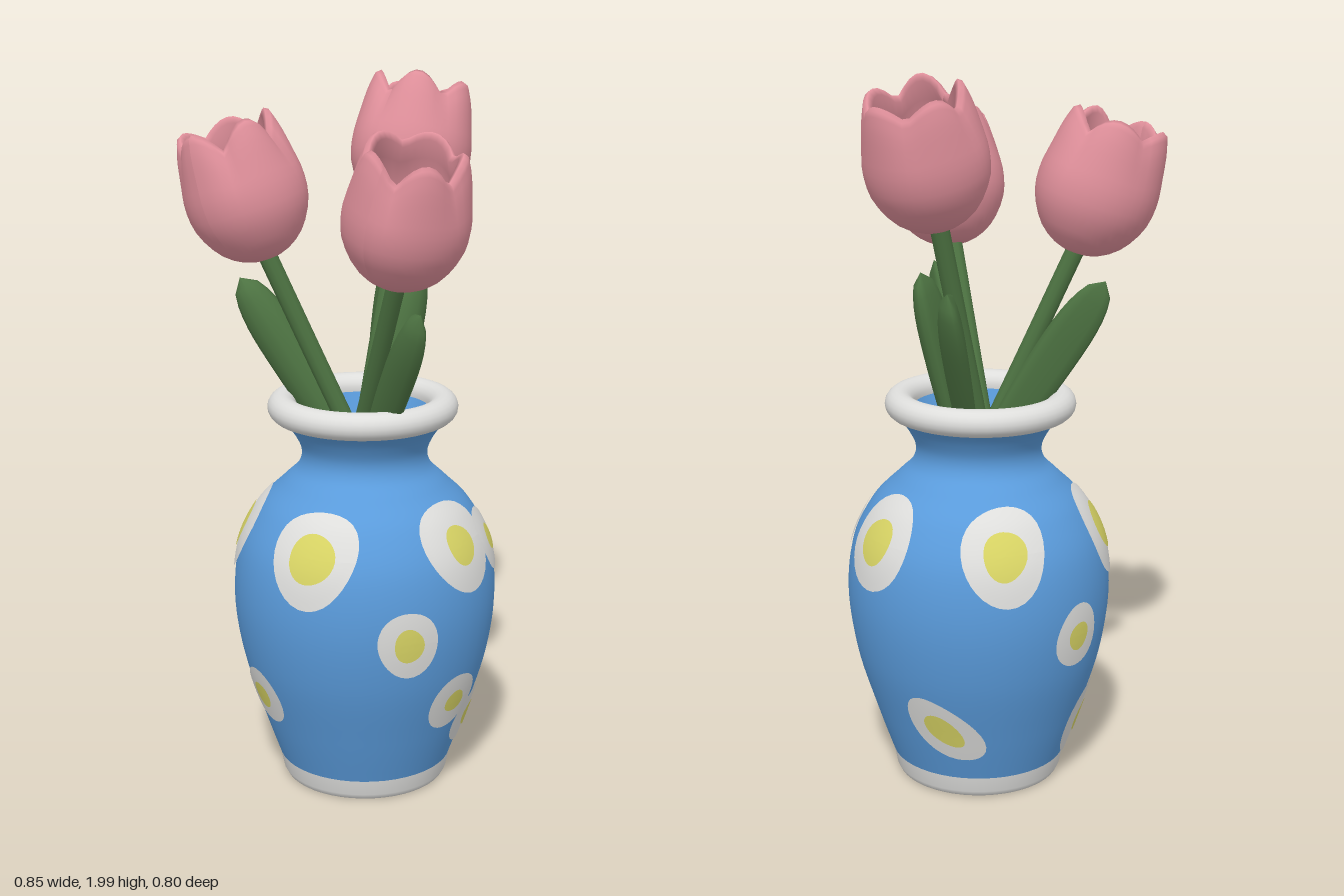
import * as THREE from 'three';

const mat = (name, color) => {
  const m = new THREE.MeshStandardMaterial({ color });
  m.name = name;
  return m;
};
const V2 = (x, y) => new THREE.Vector2(x, y);
const V3 = (x, y, z) => new THREE.Vector3(x, y, z);

// Vase wall: smooth curve through (radius, height), used by the body and its spots
const WALL = new THREE.SplineCurve([
  V2(0.245, 0.07), V2(0.29, 0.2), V2(0.345, 0.38), V2(0.368, 0.55), V2(0.352, 0.7),
  V2(0.298, 0.81), V2(0.23, 0.88), V2(0.185, 0.925), V2(0.175, 0.97), V2(0.197, 1.02), V2(0.235, 1.068),
]).getPoints(70);
const HEIGHTS = WALL.map((p) => p.y);
const ARC = [0];
for (let i = 1; i < WALL.length; i++) ARC.push(ARC[i - 1] + WALL[i].distanceTo(WALL[i - 1]));

// Fractional wall index where a rising list of keys reaches a value, and the reverse
function locate(keys, value) {
  let i = 1;
  while (i < keys.length - 1 && keys[i] < value) i++;
  return i - 1 + (value - keys[i - 1]) / (keys[i] - keys[i - 1]);
}
function mix(at, f) {
  const i = Math.min(Math.floor(f), WALL.length - 2);
  return THREE.MathUtils.lerp(at(i), at(i + 1), f - i);
}

// Thin round patch wrapped along the vase wall; angle is measured from +z to +x
function spotGeometry(deg, y0, rx, ry, tilt, lift, phase) {
  const g = new THREE.RingGeometry(0, 1, 32, 6);
  const p = g.attributes.position;
  const c = Math.cos(tilt), s = Math.sin(tilt);
  const arc0 = mix((i) => ARC[i], locate(HEIGHTS, y0));
  for (let i = 0; i < p.count; i++) {
    const t = Math.atan2(p.getY(i), p.getX(i));
    const k = 1 + 0.03 * Math.sin(2 * t + phase) + 0.03 * Math.sin(3 * t + 2 * phase);
    const u = p.getX(i) * rx * k, v = p.getY(i) * ry * k;
    const f = locate(ARC, arc0 + u * s + v * c);
    const r = mix((j) => WALL[j].x, f), y = mix((j) => WALL[j].y, f);
    const a = deg * Math.PI / 180 + (u * c - v * s) / r;
    p.setXYZ(i, Math.sin(a) * (r + lift), y, Math.cos(a) * (r + lift));
  }
  g.computeVertexNormals();
  return g;
}

// Tulip cup: lathe with a thin lip, its rim lifted into uneven petal tips
function tulipGeometry(turn) {
  const outer = new THREE.SplineCurve([
    V2(0, 0), V2(0.058, 0.01), V2(0.115, 0.05), V2(0.156, 0.12), V2(0.166, 0.19),
    V2(0.158, 0.26), V2(0.146, 0.33), V2(0.132, 0.375),
  ]).getPoints(18);
  const inner = [V2(0.12, 0.382), V2(0.108, 0.365), V2(0.12, 0.31), V2(0.134, 0.22),
    V2(0.122, 0.13), V2(0.07, 0.065), V2(0, 0.04)];
  const g = new THREE.LatheGeometry([...outer, ...inner], 40);
  const p = g.attributes.position;
  for (let i = 0; i < p.count; i++) {
    const x = p.getX(i), y = p.getY(i), z = p.getZ(i);
    const a = Math.atan2(x, z);
    const w = THREE.MathUtils.smoothstep(y, 0.12, 0.38);
    const valley = (1 - Math.abs(Math.cos(2.5 * a + turn))) * (0.85 + 0.3 * Math.sin(a + turn));
    const k = 1 - 0.05 * w * valley;
    p.setXYZ(i, x * k, y - 0.06 * w * w * valley, z * k);
  }
  g.computeVertexNormals();
  return g;
}

// Leaf: thick, slightly cupped sections along a gently bent path
function leafGeometry(base, tip, facing, width) {
  const mid = base.clone().lerp(tip, 0.5).add(V3(0, 0.01, 0));
  const path = new THREE.QuadraticBezierCurve3(base, mid, tip);
  const rows = 18, n = 12, pos = [], index = [];
  const side0 = V3(Math.cos(facing), 0, -Math.sin(facing));
  for (let i = 0; i <= rows; i++) {
    const t = i / rows, c = path.getPoint(t), T = path.getTangent(t);
    const side = side0.clone().addScaledVector(T, -side0.dot(T)).normalize();
    const nor = T.clone().cross(side);
    const d = t > 0.65 ? Math.pow((t - 0.65) / 0.35, 2.4) : Math.pow((0.65 - t) / 0.75, 2);
    const shape = Math.sqrt(Math.max(0, 1 - d));
    const w = width * shape, h = 0.034 * shape;
    for (let j = 0; j < n; j++) {
      const a = j / n * Math.PI * 2, cs = Math.cos(a);
      const q = c.clone().addScaledVector(side, w * cs)
        .addScaledVector(nor, h * Math.sin(a) + 0.016 * shape * (cs * cs - 0.5));
      pos.push(q.x, q.y, q.z);
      if (i < rows) {
        const A = i * n + j, B = i * n + (j + 1) % n;
        index.push(A, B, A + n, B, B + n, A + n);
      }
    }
  }
  const g = new THREE.BufferGeometry();
  g.setAttribute('position', new THREE.Float32BufferAttribute(pos, 3));
  g.setIndex(index);
  g.computeVertexNormals();
  return g;
}

export function createModel() {
  const blue = mat('blue glaze', 0x5a9bdb);
  const white = mat('white glaze', 0xdededc);
  const yellow = mat('yellow glaze', 0xd9d565);
  const pink = mat('pink petal', 0xe0909b);
  const green = mat('leaf green', 0x4d7342);
  const model = new THREE.Group();
  model.name = 'vaseOfTulips';
  const add = (parent, name, geometry, material) => {
    const m = new THREE.Mesh(geometry, material);
    m.name = name;
    parent.add(m);
    return m;
  };

  // Vase
  const vase = new THREE.Group();
  vase.name = 'vase';
  vase.position.set(-0.023, 0, 0.015);
  model.add(vase);
  const lathe = (name, points, m) => add(vase, name, new THREE.LatheGeometry(points, 48), m);
  lathe('vaseBottom', [V2(0, 0.008), V2(0.215, 0.008)], white);
  lathe('foot', [V2(0.215, 0.008), V2(0.228, 0.01), V2(0.236, 0.025), V2(0.245, 0.07)], white);
  lathe('body', WALL, blue);
  const rim = [];
  for (let i = 0; i <= 16; i++) {
    const a = -2.0 + i / 16 * 5.4;
    rim.push(V2(0.224 + 0.04 * Math.cos(a), 1.091 + 0.038 * Math.sin(a)));
  }
  const lip = lathe('rim', rim, white);
  lip.position.x = -0.006;
  lathe('interior', [V2(0.2, 1.085), V2(0.175, 1.02), V2(0.155, 0.97), V2(0.165, 0.925), V2(0.21, 0.87),
    V2(0.275, 0.8), V2(0.327, 0.7), V2(0.342, 0.55), V2(0.32, 0.38), V2(0.22, 0.08), V2(0, 0.06)], blue);

  // Spots: angle, height, half width, half height, tilt, centre scale
  const spots = [
    [14, 0.75, 0.122, 0.138, 0, 0.52],
    [-54, 0.748, 0.12, 0.14, 0, 0.52],
    [-21, 0.3, 0.084, 0.087, 0, 0.45],
    [57.5, 0.52, 0.085, 0.096, 0, 0.5],
    [-63, 0.19, 0.1, 0.115, 0, 0.45],
    [-92, 0.5, 0.08, 0.09, 0, 0.45],
    [-157, 0.235, 0.13, 0.075, -0.8, 0.5],
    [87, 0.305, 0.088, 0.088, 0, 0.4],
    [112, 0.212, 0.09, 0.09, 0, 0.45],
    [90, 0.758, 0.122, 0.135, 0, 0.42],
    [121, 0.728, 0.088, 0.092, 0, 0.4],
    [166, 0.75, 0.122, 0.138, 0, 0.48],
    [-127, 0.755, 0.116, 0.138, 0, 0.5],
  ];
  spots.forEach(([deg, y, rx, ry, tilt, k], i) => {
    add(vase, 'spot', spotGeometry(deg, y, rx, ry, tilt, 0.005, i), white);
    add(vase, 'spotCentre', spotGeometry(deg, y, rx * k, ry * k, tilt, 0.008, i + 1), yellow);
  });

  // Tulips: stem foot, flower base, flower axis
  const tulips = [
    [V3(0.07, 0.72, -0.03), V3(-0.212, 1.505, 0.195), V3(-0.24, 0.95, 0.19)],
    [V3(-0.14, 0.75, -0.02), V3(0.208, 1.48, 0.168), V3(0.25, 0.95, 0.13)],
    [V3(-0.03, 0.7, 0.1), V3(-0.033, 1.597, -0.155), V3(-0.03, 0.95, -0.3)],
  ];
  tulips.forEach(([foot, base, axis], i) => {
    const tulip = new THREE.Group();
    tulip.name = 'tulip';
    model.add(tulip);
    axis.normalize();
    const top = base.clone().addScaledVector(axis, 0.03);
    const curve = new THREE.CatmullRomCurve3([foot, foot.clone().lerp(base, 0.55), top]);
    add(tulip, 'stem', new THREE.TubeGeometry(curve, 14, 0.026, 10), green);
    const flower = add(tulip, 'flower', tulipGeometry(i * 0.9), pink);
    flower.position.copy(base);
    flower.quaternion.setFromUnitVectors(V3(0, 1, 0), axis);
  });

  // Leaves: base, tip, facing angle, half width
  const leaves = [
    [V3(-0.04, 0.93, 0.03), V3(-0.32, 1.44, 0.19), 0.7, 0.062],
    [V3(-0.04, 0.93, -0.02), V3(-0.18, 1.46, -0.29), 2.3, 0.062],
    [V3(0.01, 0.93, -0.01), V3(0.05, 1.465, -0.14), 1.75, 0.06],
    [V3(0.0, 0.93, 0.03), V3(0.31, 1.42, 0.2), -0.5, 0.06],
  ];
  for (const l of leaves) add(model, 'leaf', leafGeometry(...l), green);
  return model;
}
